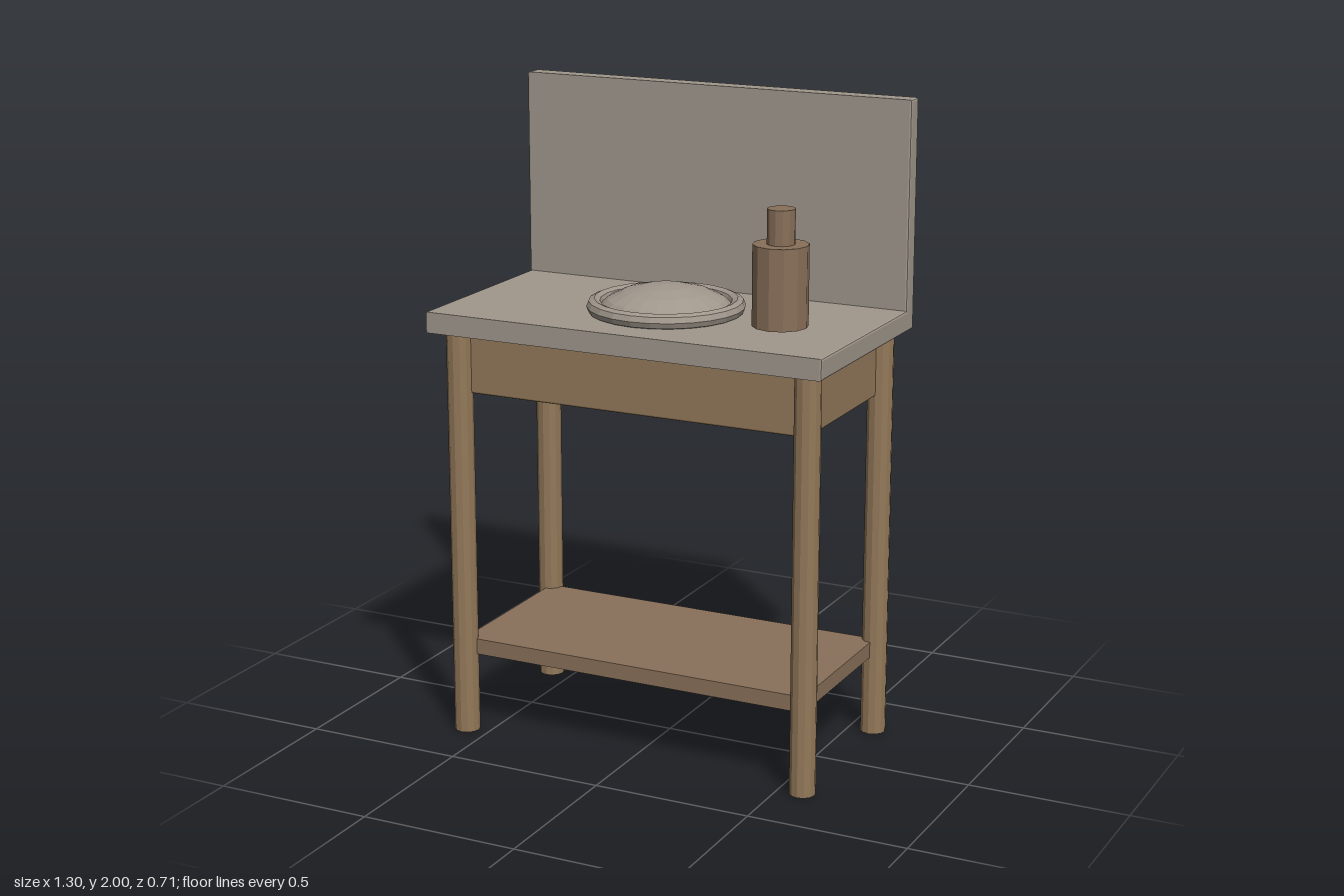
import * as THREE from 'three';
import { RoundedBoxGeometry } from 'three/addons/geometries/RoundedBoxGeometry.js';

const material = (color) => new THREE.MeshStandardMaterial({ color, flatShading: true });

export function createModel() {
  const group = new THREE.Group();
  const stone = material(0xa0978c);
  const frameWood = material(0x93795a);
  const shelfWood = material(0x89705a);

  function add(name, geometry, mat, x, y, z) {
    const mesh = new THREE.Mesh(geometry, mat);
    mesh.name = name;
    mesh.position.set(x, y, z);
    group.add(mesh);
    return mesh;
  }

  // Worktop and upright splashback: one L-shaped profile run along x
  const bevel = 0.007;
  const profile = new THREE.Shape();
  [[0.353, 1.295], [0.353, 1.36], [-0.296, 1.36], [-0.296, 2], [-0.353, 2], [-0.353, 1.295]]
    .forEach(([z, y], i) => (i ? profile.lineTo(-z, y) : profile.moveTo(-z, y)));
  profile.closePath();
  const counter = new THREE.ExtrudeGeometry(profile, {
    depth: 1.3 - 2 * bevel, bevelEnabled: true, bevelThickness: bevel,
    bevelSize: bevel, bevelOffset: -bevel, bevelSegments: 2,
  });
  counter.translate(0, 0, -0.65 + bevel);
  counter.rotateY(Math.PI / 2);
  add('worktopAndSplashback', counter, stone, 0, 0, 0);

  // Four round legs
  for (const x of [-0.577, 0.577]) {
    for (const z of [-0.277, 0.277]) {
      add('leg', new THREE.CylinderGeometry(0.04, 0.04, 1.295, 12), frameWood, x, 1.295 / 2, z);
    }
  }

  // Apron block under the worktop and the low shelf
  add('apron', new RoundedBoxGeometry(1.154, 0.18, 0.554, 1, 0.006), frameWood, 0, 1.19, 0);
  add('shelf', new THREE.BoxGeometry(1.154, 0.05, 0.554), shelfWood, 0, 0.28, 0);

  // Basin: flattened dome with a rounded rim
  const dome = add('basin', new THREE.SphereGeometry(0.22, 20, 10), stone, 0, 1.34, 0.027);
  dome.scale.y = 0.105 / 0.22;
  const rim = new THREE.TorusGeometry(0.217, 0.024, 8, 24);
  rim.rotateX(Math.PI / 2);
  add('basinRim', rim, stone, 0, 1.38, 0.027);

  // Jug with a narrow neck
  add('jugBody', new THREE.CylinderGeometry(0.084, 0.084, 0.245, 12), shelfWood, 0.398, 1.4925, 0.076);
  add('jugNeck', new THREE.CylinderGeometry(0.042, 0.042, 0.115, 12), shelfWood, 0.398, 1.6625, 0.076);

  return group;
}
